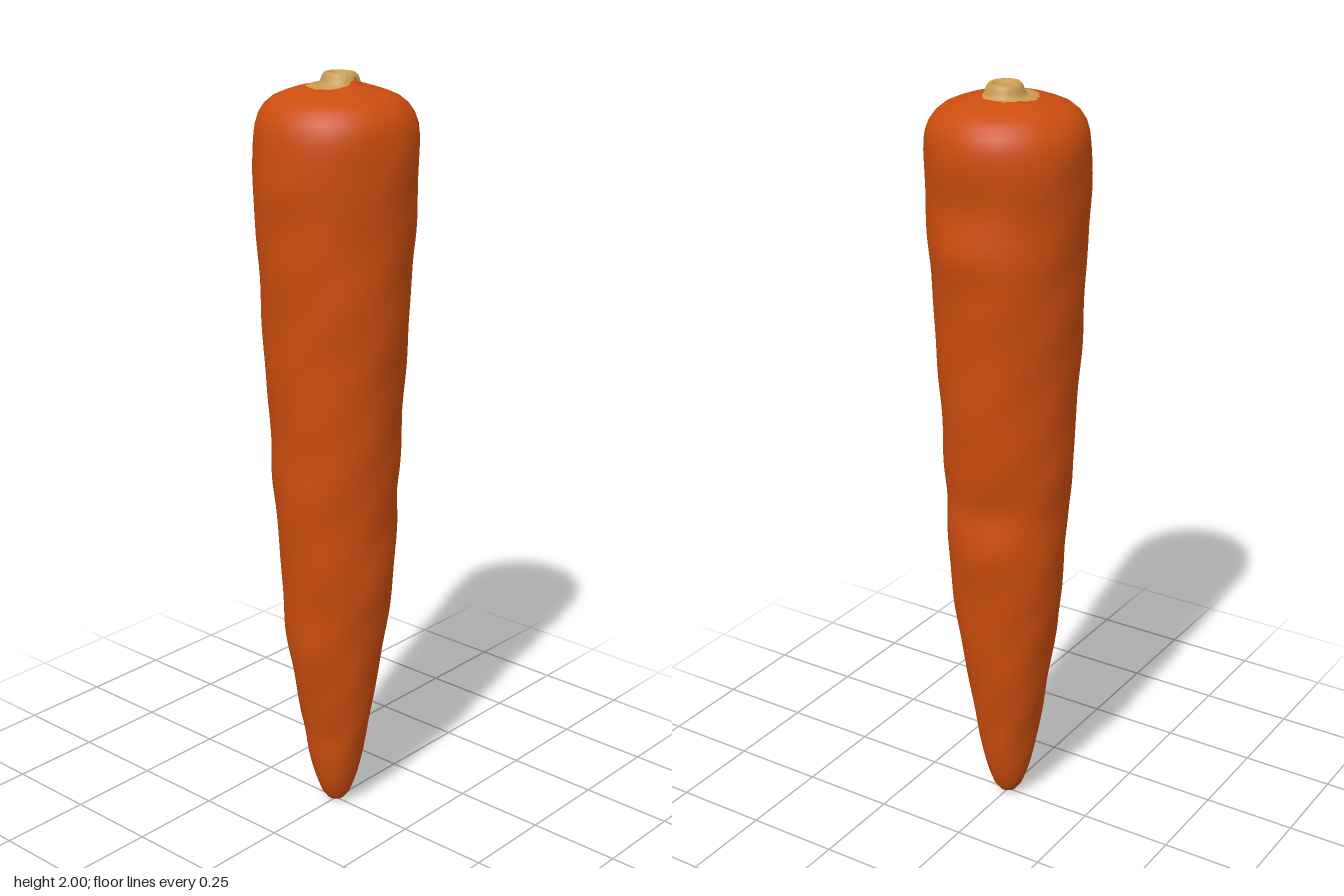
import * as THREE from 'three';

const SEG = 72, BODY_RINGS = 80, SHOULDER_RINGS = 6, SCAR_RINGS = 28;
const STEM_Z = -0.015;

// Root outline: radius, height
const PROFILE = [
  [0, 0], [0.03, 0.015], [0.05, 0.06], [0.067, 0.12], [0.085, 0.22], [0.115, 0.4],
  [0.14, 0.6], [0.155, 0.8], [0.166, 1.0], [0.176, 1.2], [0.187, 1.4], [0.197, 1.6],
  [0.204, 1.78], [0.203, 1.86], [0.19, 1.905], [0.16, 1.937], [0.11, 1.957],
].map(([r, y]) => new THREE.Vector2(r, y));

// Reach of the stem scar every 30 degrees, starting at +x and turning to +z
const SCAR_EDGE = [0.045, 0.052, 0.083, 0.09, 0.085, 0.082, 0.083, 0.07, 0.07, 0.063, 0.06, 0.05];

// Stem relief: distance from the stem axis, height above the crown
const STEM = [
  [0, 0.02], [0.003, 0.018], [0.015, 0.016], [0.024, 0.018], [0.03, 0.025], [0.037, 0.027],
  [0.044, 0.02], [0.05, 0.004], [0.057, -0.002], [0.065, 0.002], [0.08, 0],
];

// Dents and swellings: height, facing angle, depth, vertical spread
const DENTS = [
  [1.72, -Math.PI / 2, -0.009, 0.06], [1.6, -Math.PI / 2, 0.007, 0.05],
  [0.92, -Math.PI / 2, -0.012, 0.06], [0.78, -Math.PI / 2, 0.006, 0.07],
  [1.74, Math.PI / 2, 0.007, 0.07], [0.96, Math.PI / 2, 0.006, 0.08],
  [0.5, Math.PI / 2, 0.006, 0.08], [0.22, Math.PI / 2, -0.005, 0.04],
  [0.7, 0, 0.005, 0.09], [0.9, Math.PI, -0.003, 0.05],
];

function interpolate(table, d) {
  for (let i = 1; i < table.length; i++) {
    const [x0, y0] = table[i - 1], [x1, y1] = table[i];
    if (d <= x1) return y0 + (y1 - y0) * (d - x0) / (x1 - x0);
  }
  return table[table.length - 1][1];
}

function lump(a, y) {
  let s = 0.002 * Math.sin(3 * a + 5 * y) + 0.0015 * Math.sin(2 * a - 17 * y) + 0.001 * Math.sin(5 * a + 29 * y);
  for (const [h, facing, depth, spread] of DENTS) {
    s += depth * Math.exp(-(((y - h) / spread) ** 2)) * Math.max(0, Math.cos(a - facing)) ** 2;
  }
  return s * THREE.MathUtils.smoothstep(y, 0.03, 0.25) * (1 - THREE.MathUtils.smoothstep(y, 1.84, 1.95));
}

function scarEdge(a) {
  const f = a / (Math.PI * 2) * 12, i = Math.floor(f) % 12;
  const r = THREE.MathUtils.lerp(SCAR_EDGE[i], SCAR_EDGE[(i + 1) % 12], f - Math.floor(f));
  return r + 0.0015 * Math.sin(17 * a) + 0.001 * Math.sin(29 * a);
}

function crownHeight(x, z) {
  return 1.973 - 1.32 * (x * x + z * z) + interpolate(STEM, Math.hypot(x, z - STEM_Z));
}

function rootGeometry() {
  const position = [], index = [];
  const ring = (pointAt) => {
    for (let j = 0; j < SEG; j++) position.push(...pointAt(j / SEG * Math.PI * 2));
  };

  // Tapering root, tip to shoulder
  for (const p of new THREE.SplineCurve(PROFILE).getSpacedPoints(BODY_RINGS)) {
    ring((a) => {
      const r = p.x + lump(a, p.y);
      return [r * Math.cos(a), Math.max(0, p.y), r * Math.sin(a)];
    });
  }
  // Crown, from the shoulder in to the edge of the scar
  const rim = PROFILE[PROFILE.length - 1].x;
  for (let i = 1; i <= SHOULDER_RINGS; i++) {
    ring((a) => {
      const t = i / SHOULDER_RINGS, e = scarEdge(a);
      const x = Math.cos(a) * THREE.MathUtils.lerp(rim, e, t);
      const z = THREE.MathUtils.lerp(rim * Math.sin(a), e * Math.sin(a) + STEM_Z, t);
      return [x, crownHeight(x, z), z];
    });
  }
  // Scar and stem stub, in to the stem axis
  for (let i = 1; i <= SCAR_RINGS; i++) {
    ring((a) => {
      const r = scarEdge(a) * (1 - i / SCAR_RINGS);
      const x = r * Math.cos(a), z = r * Math.sin(a) + STEM_Z;
      return [x, crownHeight(x, z), z];
    });
  }

  const bands = BODY_RINGS + SHOULDER_RINGS + SCAR_RINGS;
  for (let i = 0; i < bands; i++) {
    for (let j = 0; j < SEG; j++) {
      const k = (j + 1) % SEG;
      const a = i * SEG + j, b = i * SEG + k, c = a + SEG, d = b + SEG;
      index.push(a, c, b, b, c, d);
    }
  }
  const geometry = new THREE.BufferGeometry();
  geometry.setAttribute('position', new THREE.Float32BufferAttribute(position, 3));
  geometry.setIndex(index);
  const skinCount = (BODY_RINGS + SHOULDER_RINGS) * SEG * 6;
  geometry.addGroup(0, skinCount, 0);
  geometry.addGroup(skinCount, SCAR_RINGS * SEG * 6, 1);
  geometry.computeVertexNormals();
  return geometry;
}

export function createModel() {
  const skin = new THREE.MeshStandardMaterial({ color: 0xcc4d0e });
  skin.name = 'orange skin';
  const stem = new THREE.MeshStandardMaterial({ color: 0xc89b50 });
  stem.name = 'tan stem';

  const root = new THREE.Mesh(rootGeometry(), [skin, stem]);
  root.name = 'carrotRootWithStem';
  const model = new THREE.Group();
  model.name = 'carrot';
  model.add(root);
  return model;
}
